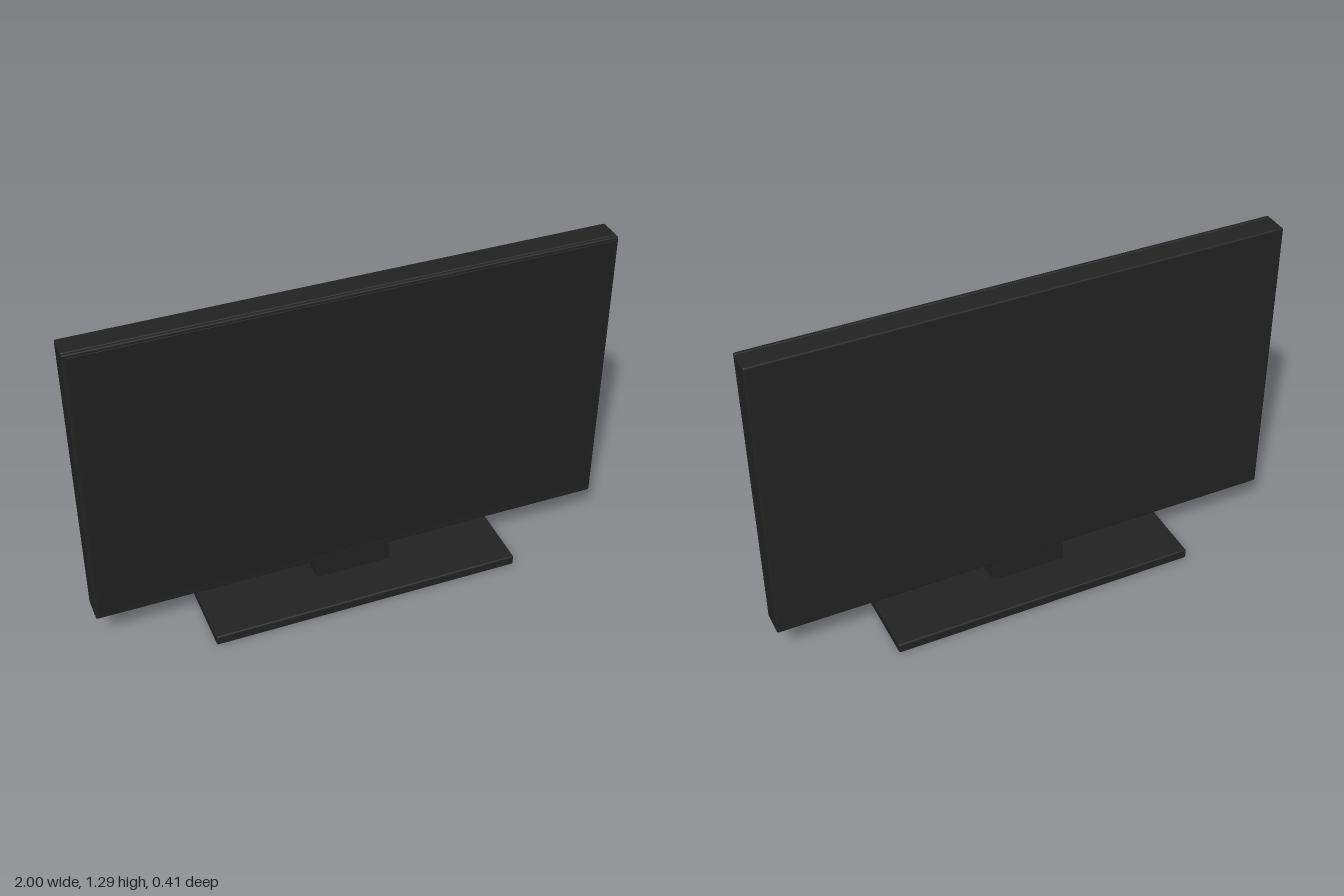
import * as THREE from 'three';
import { RoundedBoxGeometry } from 'three/addons/geometries/RoundedBoxGeometry.js';

const casing = new THREE.MeshStandardMaterial({ color: 0x222222 });
casing.name = 'charcoal casing';
const glass = new THREE.MeshStandardMaterial({ color: 0x202020 });
glass.name = 'dark glass';

// Softly rounded slab given by its minimum and maximum corners
function slab(name, min, max, radius, material) {
  const size = max.map((v, i) => v - min[i]);
  const mesh = new THREE.Mesh(new RoundedBoxGeometry(...size, 3, radius), material);
  mesh.position.set(...max.map((v, i) => (v + min[i]) / 2));
  mesh.name = name;
  return mesh;
}

export function createModel() {
  const model = new THREE.Group();
  model.name = 'flatScreenTelevision';

  // Stand: wide foot and short neck
  model.add(slab('standBase', [-0.6, 0, -0.207], [0.6, 0.04, 0.207], 0.007, casing));
  model.add(slab('standNeck', [-0.148, 0.03, -0.04], [0.148, 0.15, 0.04], 0.006, casing));

  // Display: rear housing, with a thin front bezel separated by a fine seam
  model.add(slab('rearHousing', [-1, 0.133, -0.052], [1, 1.29, 0.037], 0.007, casing));
  model.add(slab('frontBezel', [-1, 0.133, 0.036], [1, 1.29, 0.052], 0.006, casing));

  // Screen glass, with a deeper chin below it
  model.add(slab('screen', [-0.988, 0.16, 0.046], [0.988, 1.279, 0.055], 0.002, glass));

  return model;
}
